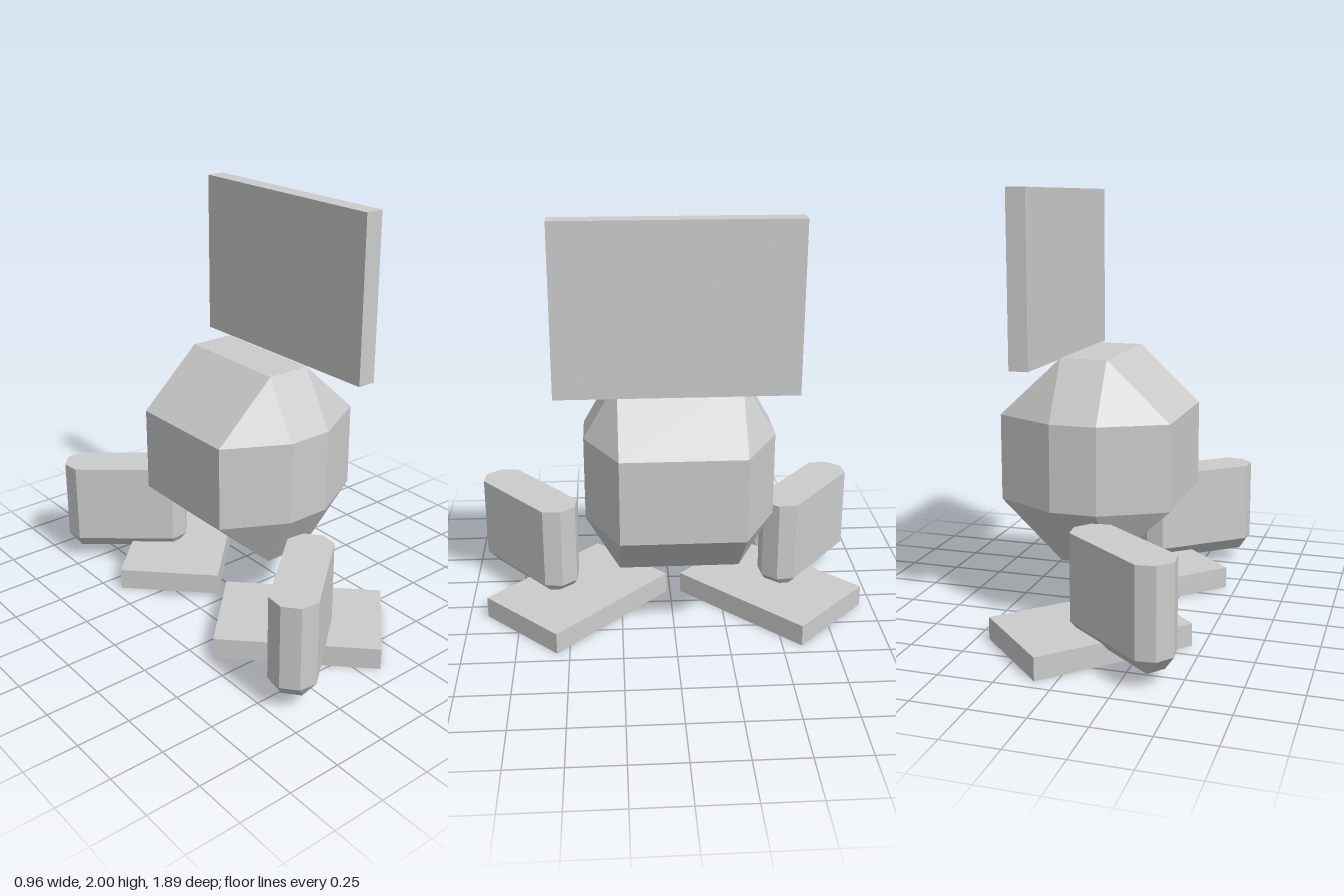
import * as THREE from 'three';
import { ConvexGeometry } from 'three/addons/geometries/ConvexGeometry.js';

const grey = new THREE.MeshStandardMaterial({ color: 0xcccccc });
grey.name = 'plain grey';

// Four corners of a rectangle at height y
const rect = (hx, hz, y) =>
  [[-1, -1], [1, -1], [1, 1], [-1, 1]].map(([a, b]) => new THREE.Vector3(a * hx, y, b * hz));

// Box with cut vertical edges; its bottom (and top, if capped) slopes in to a smaller rectangle
function cutBox({ hx, hz, cutX, cutZ, bottom, low, high, top }) {
  const points = rect(hx - cutX, hz - cutZ, bottom);
  for (const y of [low, high]) {
    points.push(...rect(hx, hz - cutZ, y), ...rect(hx - cutX, hz, y));
  }
  if (top !== undefined) points.push(...rect(hx - cutX, hz - cutZ, top));
  return new ConvexGeometry(points);
}

function part(name, geometry, x, y, z, turn = 0) {
  const mesh = new THREE.Mesh(geometry, grey);
  mesh.name = name;
  mesh.position.set(x, y, z);
  mesh.rotation.y = turn;
  return mesh;
}

export function createModel() {
  const model = new THREE.Group();
  model.name = 'blockFigure';

  // Faceted body
  const body = cutBox({
    hx: 0.402, hz: 0.442, cutX: 0.293, cutZ: 0.157,
    bottom: 0.305, low: 0.577, high: 0.977, top: 1.25,
  });
  model.add(part('body', body, 0.081, 0, -0.028));

  // Upright panel above the body
  model.add(part('headPanel', new THREE.BoxGeometry(0.09, 0.78, 1.093), 0.295, 1.61, -0.007));

  // Angled hands and feet, one pair on each side
  const hand = cutBox({
    hx: 0.31, hz: 0.107, cutX: 0.062, cutZ: 0.062,
    bottom: 0.067, low: 0.138, high: 0.54,
  });
  const foot = new THREE.BoxGeometry(0.764, 0.104, 0.497);
  for (const [side, s] of [['front', 1], ['back', -1]]) {
    model.add(part(side + 'Hand', hand, -0.212, 0, 0.007 + s * 0.696, s * 0.69));
    model.add(part(side + 'Foot', foot, -0.004, 0.052, -0.016 + s * 0.481, -s * Math.PI / 4));
  }
  return model;
}
